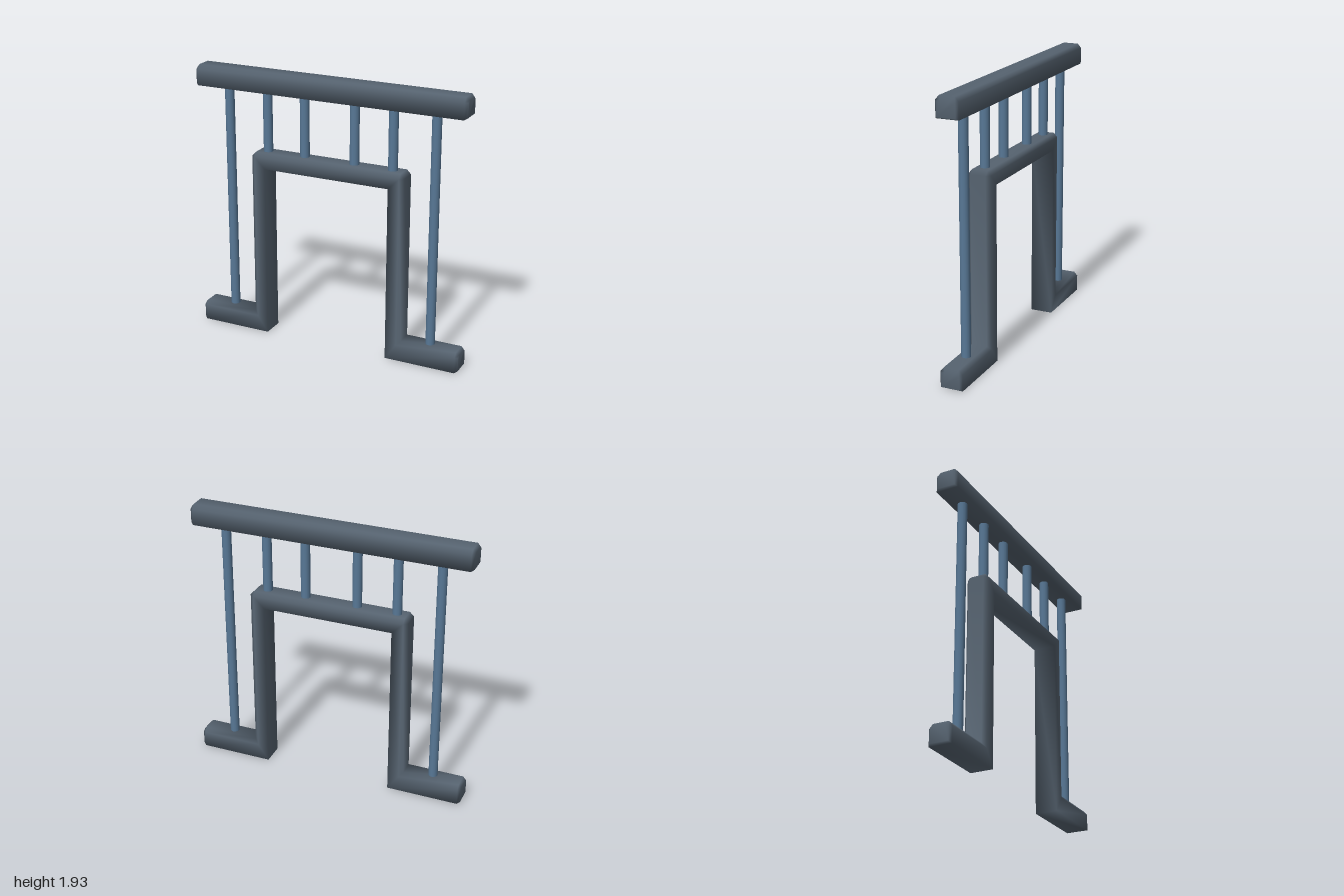
import * as THREE from 'three';
import { mergeVertices } from 'three/addons/utils/BufferGeometryUtils.js';

const HALF_DEPTH = 0.08; // half thickness of the beams
const BEVEL = 0.03;      // bevel along the outer edges

// Each station: [inner point, shoulder point, outer point, depth inset], left half only.
// The right half is mirrored, and a six-sided section is swept through all of them.
function sweepBeam(leftStations) {
  const mirror = ([x, y]) => [-x, y];
  const right = leftStations.map(([a, b, c, d]) => [mirror(a), mirror(b), mirror(c), d]).reverse();
  const stations = [...leftStations, ...right];
  const pos = [], index = [], n = 6;
  for (const [inner, shoulder, outer, inset] of stations) {
    const z = HALF_DEPTH - inset, zo = z - BEVEL + 0.005;
    pos.push(...inner, z, ...shoulder, z, ...outer, zo, ...outer, -zo, ...shoulder, -z, ...inner, -z);
  }
  for (let s = 0; s < stations.length - 1; s++) {
    for (let i = 0; i < n; i++) {
      const j = (i + 1) % n, a = s * n, b = a + n;
      index.push(a + i, b + i, b + j, a + i, b + j, a + j);
    }
  }
  // end caps
  const last = (stations.length - 1) * n;
  for (let i = 1; i < n - 1; i++) {
    index.push(0, i, i + 1, last, last + i + 1, last + i);
  }
  const geo = new THREE.BufferGeometry();
  geo.setAttribute('position', new THREE.Float32BufferAttribute(pos, 3));
  geo.setIndex(index);
  const welded = mergeVertices(geo, 1e-4);
  welded.computeVertexNormals();
  return welded;
}

// Slightly tapered end of a horizontal beam, from y0 up to y1
const beamEnd = (y0, y1) => [
  [[-1, y0 + 0.012], [-1, y1 - BEVEL - 0.005], [-1, y1 - 0.02], 0.015],
  [[-0.98, y0], [-0.98, y1 - BEVEL], [-0.98, y1], 0],
];

export function createModel() {
  const group = new THREE.Group();
  const beamMaterial = new THREE.MeshStandardMaterial({ color: 0x566370 });
  beamMaterial.name = 'slate grey';
  const barMaterial = new THREE.MeshStandardMaterial({ color: 0x587896 });
  barMaterial.name = 'steel blue';

  const add = (name, geometry, material) => {
    const mesh = new THREE.Mesh(geometry, material);
    mesh.name = name;
    group.add(mesh);
    return mesh;
  };

  // straight rail across the top
  add('topRail', sweepBeam(beamEnd(1.79, 1.935)), beamMaterial);

  // feet, posts and lintel as one continuous stepped beam
  add('doorFrame', sweepBeam([
    ...beamEnd(0, 0.145),
    [[-0.465, 0], [-0.545, 0.115], [-0.575, 0.145], 0],
    [[-0.465, 1.25], [-0.545, 1.33], [-0.575, 1.33], 0],
    [[-0.465, 1.25], [-0.545, 1.33], [-0.545, 1.36], 0],
  ]), beamMaterial);

  // round bars: the outer two reach the feet, the others stand on the lintel
  const top = 1.8;
  for (const x of [-0.775, -0.475, -0.19, 0.185, 0.467, 0.77]) {
    const bottom = Math.abs(x) > 0.6 ? 0.135 : 1.35;
    const bar = add('bar', new THREE.CylinderGeometry(0.033, 0.033, top - bottom, 12), barMaterial);
    bar.position.set(x, (top + bottom) / 2, 0);
  }
  return group;
}
